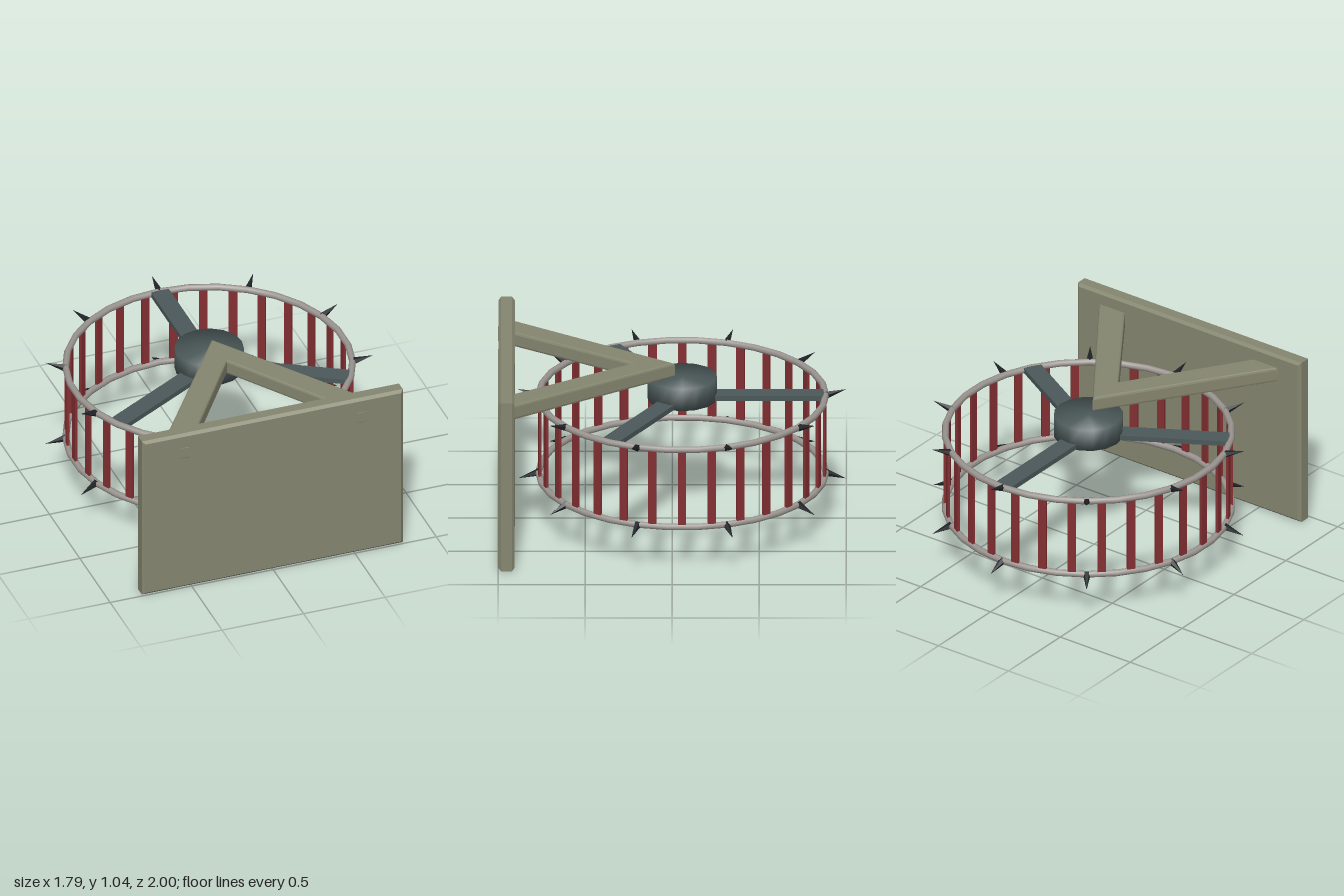
import * as THREE from 'three';
import { mergeVertices } from 'three/addons/utils/BufferGeometryUtils.js';

const mat = (name, color, flatShading = false) => {
  const m = new THREE.MeshStandardMaterial({ color, flatShading });
  m.name = name;
  return m;
};

export function createModel() {
  const olive = mat('olive plate', 0x85866f);
  const steel = mat('light steel', 0x9b9590);
  const red = mat('dark red', 0x842f32);
  const slate = mat('slate', 0x4b5859);
  const black = mat('black spike', 0x1e2225, true);

  const model = new THREE.Group();
  model.name = 'spikedDrum';
  const add = (parent, name, geometry, material, x = 0, y = 0, z = 0) => {
    const mesh = new THREE.Mesh(geometry, material);
    mesh.name = name;
    mesh.position.set(x, y, z);
    parent.add(mesh);
    return mesh;
  };

  // Chamfered mounting plate
  const c = 0.016;
  const plateShape = new THREE.Shape([
    [-0.8 + c, c], [0.8 - c, c], [0.8 - c, 1.045 - c], [-0.8 + c, 1.045 - c],
  ].map(([x, y]) => new THREE.Vector2(x, y)));
  const plate = new THREE.ExtrudeGeometry(plateShape, {
    depth: 0.095 - 2 * c, bevelThickness: c, bevelSize: c, bevelSegments: 1,
  });
  add(model, 'mountingPlate', plate, olive, 0, 0, 0.905 + c);

  // V-shaped bracket, its feet passing through the plate
  const b = 0.014;
  const vShape = new THREE.Shape([
    [0, 0.005], [0.685, 0.988], [0.525, 0.988], [0, 0.215], [-0.525, 0.988], [-0.685, 0.988],
  ].map(([x, z]) => new THREE.Vector2(x, z)));
  const bracket = new THREE.ExtrudeGeometry(vShape, {
    depth: 0.09 - 2 * b, bevelThickness: b, bevelSize: b, bevelSegments: 2,
  });
  bracket.rotateX(Math.PI / 2);
  add(model, 'bracket', bracket, olive, 0, 0.965 - b, 0);

  // Drum assembly, centred on its own axis
  const drum = new THREE.Group();
  drum.name = 'drum';
  drum.position.z = -0.057;
  model.add(drum);

  // Hub with soft shading running over its rim
  let hub = new THREE.CylinderGeometry(0.2, 0.2, 0.135, 16);
  hub.deleteAttribute('normal');
  hub.deleteAttribute('uv');
  hub = mergeVertices(hub);
  hub.computeVertexNormals();
  add(drum, 'hub', hub, slate, 0, 0.815, 0);

  // Three flat spokes
  for (let i = 0; i < 3; i++) {
    const a = Math.PI + (i * Math.PI * 2) / 3;
    const spoke = add(drum, 'spoke', new THREE.BoxGeometry(0.11, 0.03, 0.7), slate,
      Math.sin(a) * 0.465, 0.766, Math.cos(a) * 0.465);
    spoke.rotation.y = a;
  }

  // Two rings, each with ten spikes splayed away from the drum
  const ringGeo = new THREE.TorusGeometry(0.825, 0.02, 8, 30);
  ringGeo.rotateZ(Math.PI / 2).rotateX(Math.PI / 2);
  const spikeGeo = new THREE.ConeGeometry(0.023, 0.125, 5);
  const up = new THREE.Vector3(0, 1, 0);
  for (const [y, tilt] of [[0.765, 1], [0.285, -1]]) {
    add(drum, 'ring', ringGeo, steel, 0, y, 0);
    for (let i = 0; i < 10; i++) {
      const a = (i * Math.PI) / 5;
      const dir = new THREE.Vector3(Math.sin(a), 0.33 * tilt, Math.cos(a)).normalize();
      const spike = add(drum, 'spike', spikeGeo, black,
        Math.sin(a) * 0.883, y + 0.018 * tilt, Math.cos(a) * 0.883);
      spike.quaternion.setFromUnitVectors(up, dir);
    }
  }

  // Thirty vertical slats between the rings
  const slatGeo = new THREE.BoxGeometry(0.048, 0.48, 0.016);
  for (let i = 0; i < 30; i++) {
    const a = Math.PI / 2 + (i * Math.PI) / 15;
    const slat = add(drum, 'slat', slatGeo, red, Math.sin(a) * 0.823, 0.525, Math.cos(a) * 0.823);
    slat.rotation.y = a;
  }

  return model;
}
